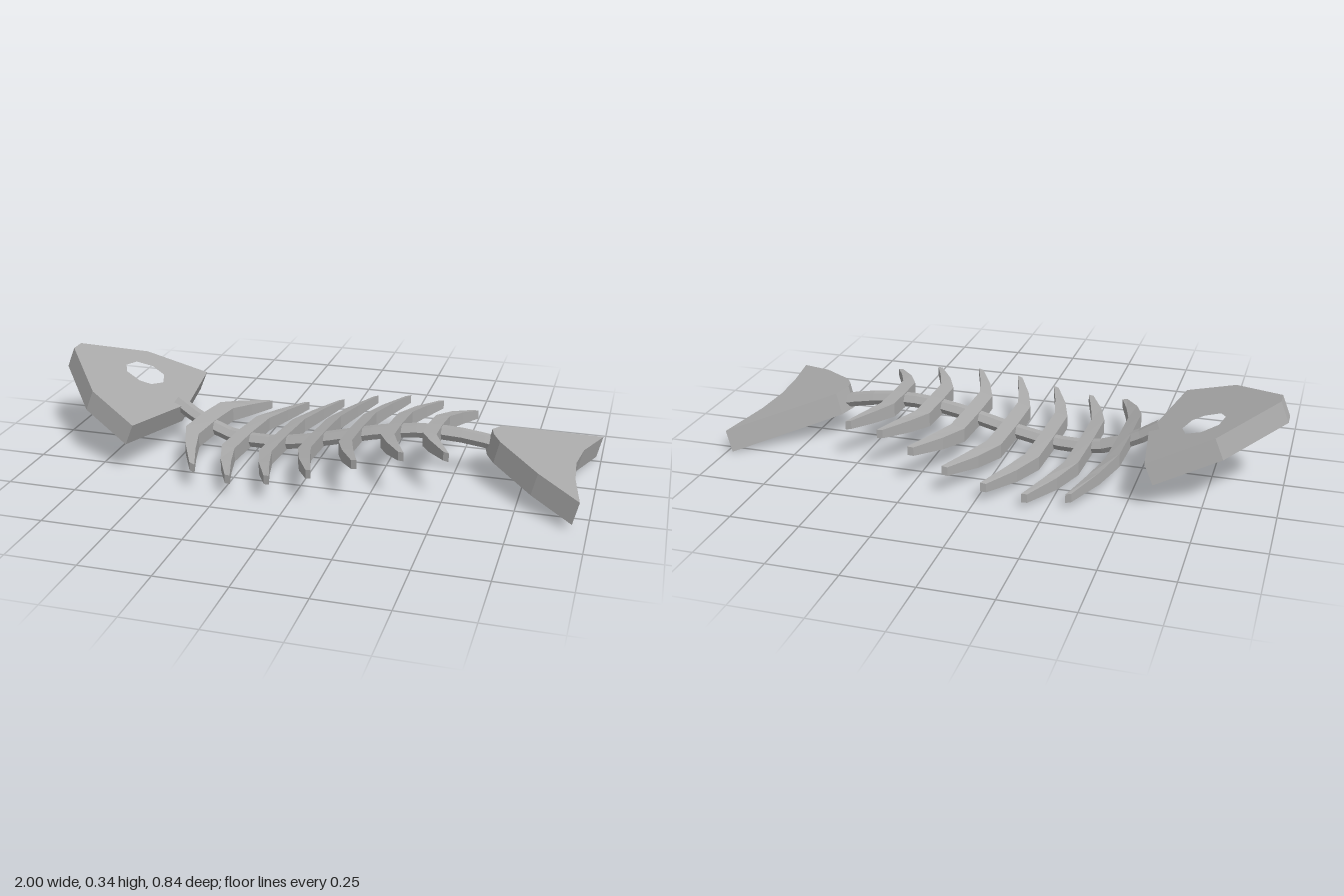
import * as THREE from 'three';

const bone = new THREE.MeshStandardMaterial({ color: 0xaaaaaa, flatShading: true });
bone.name = 'bone grey';

// Wavy backbone: height and sideways drift along x
const spineY = (x) =>
  0.105 + 0.055 * Math.sin(((x - 0.085) * Math.PI) / 0.67) + (x < -0.25 ? 0.75 * (x + 0.25) ** 2 : 0);
const spineZ = (x) => 0.02 - 0.06 * x * x;

function addMesh(group, geometry, name) {
  const mesh = new THREE.Mesh(geometry, bone);
  mesh.name = name;
  group.add(mesh);
}

// Plate with an (x, z) outline: topY gives its upper face, lean moves the lower face
function slantedPlate(outline, hole, topY, lean, thickness) {
  const toPoints = (list) => list.map(([x, z]) => new THREE.Vector2(x, -z));
  const shape = new THREE.Shape(toPoints(outline));
  if (hole) shape.holes.push(new THREE.Path(toPoints(hole)));
  const geo = new THREE.ExtrudeGeometry(shape, { depth: 1, bevelEnabled: false });
  geo.rotateX(-Math.PI / 2);
  const p = geo.attributes.position;
  for (let i = 0; i < p.count; i++) {
    const x = p.getX(i), z = p.getZ(i), down = 1 - p.getY(i);
    p.setXYZ(i, x - lean * down, topY(x, z) - thickness * down, z);
  }
  geo.computeVertexNormals();
  return geo;
}

// Rib pair: rectangular sections swept from one tip across the spine to the other
function ribPair(rootX, reach) {
  // distance outward, sweep toward the tail, width, height
  const half = [
    [0, 0, 0.05, 0.055],
    [0.42, 0.003, 0.05, 0.052],
    [0.7, 0.04, 0.042, 0.046],
    [1, 0.093, 0.02, 0.032],
  ];
  const stations = [
    ...half.slice(1).reverse().map(([t, ...rest]) => [-t, ...rest]),
    ...half,
  ];
  const pos = [], index = [];
  stations.forEach(([t, sweep, w, h]) => {
    const z = t * reach + spineZ(rootX) * (1 - Math.abs(t));
    const cx = rootX + sweep - 0.05 * z;
    for (const [sx, sy] of [[-1, -1], [1, -1], [1, 1], [-1, 1]]) {
      const x = cx + (sx * w) / 2;
      pos.push(x, spineY(x) + 0.045 * z + (sy * h) / 2, z + sx * 0.12 * w * t);
    }
  });
  const last = stations.length - 1;
  for (let k = 0; k < last; k++) {
    for (let j = 0; j < 4; j++) {
      const a = k * 4 + j, b = k * 4 + ((j + 1) % 4);
      index.push(a, b, b + 4, a, b + 4, a + 4);
    }
  }
  const e = last * 4;
  index.push(0, 2, 1, 0, 3, 2, e, e + 1, e + 2, e, e + 2, e + 3);
  const geo = new THREE.BufferGeometry();
  geo.setAttribute('position', new THREE.Float32BufferAttribute(pos, 3));
  geo.setIndex(index);
  const flat = geo.toNonIndexed();
  flat.computeVertexNormals();
  return flat;
}

export function createModel() {
  const group = new THREE.Group();
  group.name = 'fishSkeleton';

  // Head with an eye hole
  const head = [[-0.97, -0.06], [-0.78, -0.25], [-0.56, -0.32], [-0.52, -0.02],
    [-0.6, 0.32], [-0.79, 0.23], [-0.97, 0]];
  const eye = [[-0.71, -0.005], [-0.77, -0.025], [-0.79, -0.07], [-0.775, -0.13],
    [-0.72, -0.157], [-0.665, -0.135], [-0.645, -0.075], [-0.67, -0.02]];
  addMesh(group, slantedPlate(head, eye, (x) => 0.34 - 0.41 * (x + 0.97), 0.03, 0.075), 'head');

  // Tail fin
  const tail = [[0.63, 0], [0.655, -0.06], [0.74, -0.12], [1, -0.29], [0.945, -0.1],
    [0.93, 0.04], [0.94, 0.18], [0.97, 0.35], [0.82, 0.24], [0.67, 0.09], [0.64, 0.04]];
  addMesh(group, slantedPlate(tail, null, (x, z) => 0.188 - 0.265 * (x - 0.63) + 0.025 * z, 0.02, 0.082), 'tailFin');

  // Spine
  const points = [];
  for (let i = 0; i <= 12; i++) {
    const x = -0.56 + (i * 1.24) / 12;
    points.push(new THREE.Vector3(x, spineY(x), spineZ(x)));
  }
  addMesh(group, new THREE.TubeGeometry(new THREE.CatmullRomCurve3(points), 16, 0.027, 6), 'spine');

  // Seven rib pairs, shrinking toward the tail
  [0.38, 0.413, 0.418, 0.403, 0.355, 0.288, 0.238].forEach((reach, i) => {
    addMesh(group, ribPair(-0.43 + 0.143 * i, reach), `ribPair${i + 1}`);
  });

  return group;
}
